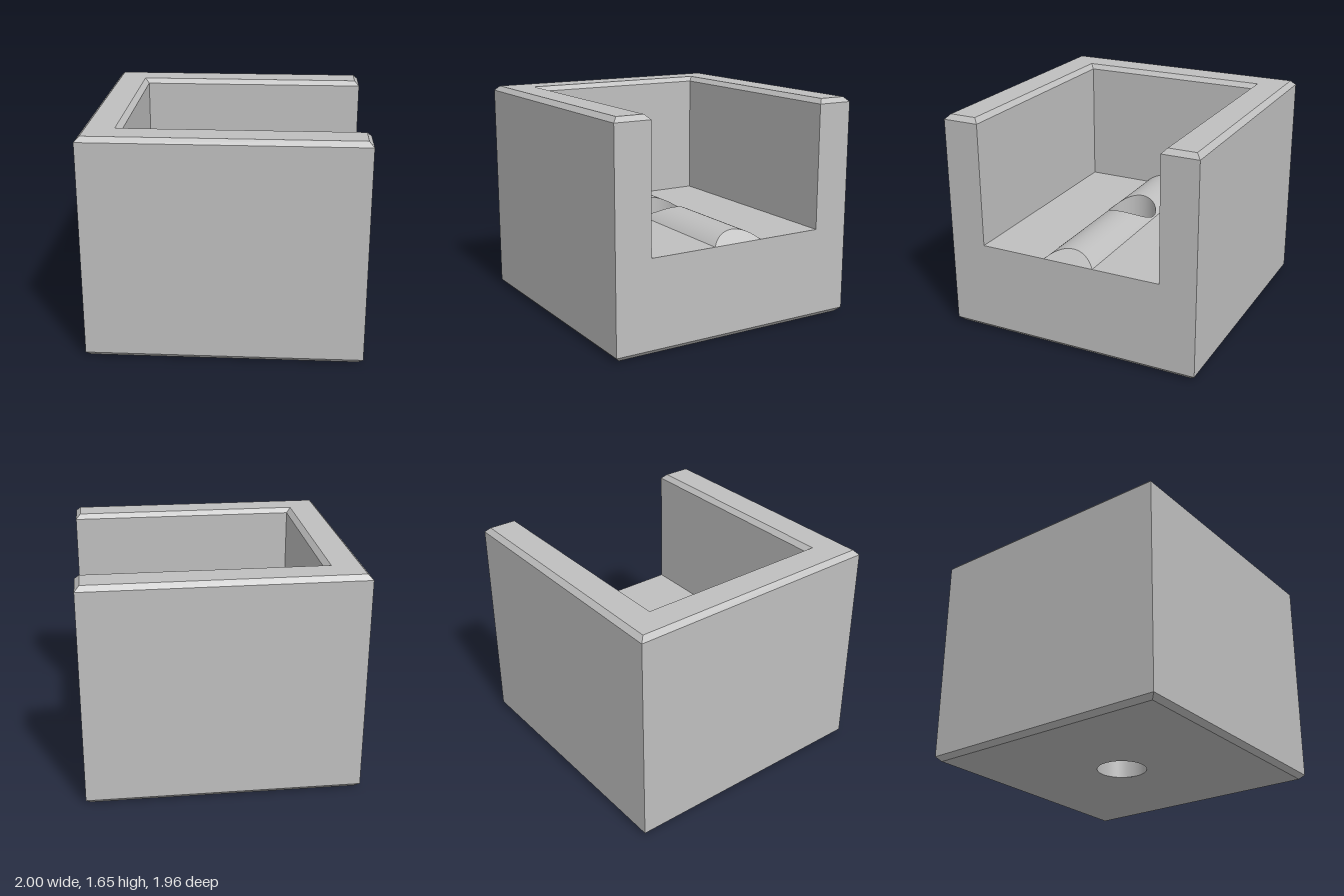
import * as THREE from 'three';

const BASE = 0.69, TOP = 1.655, CH = 0.035;      // floor height, total height, chamfer
const HX = -0.035, HR = 0.185;                   // hole centre and radius
const HALF = 0.195, RISE = 0.083;                // ridge half width and rise
const R = (HALF * HALF + RISE * RISE) / (2 * RISE), CY = BASE + RISE - R;
const INNER = -0.725, WALL = 0.705, D = 0.98;    // cavity end, cavity half depth, outer half depth
const STEPS = 96;

const ridgeY = (z) => CY + Math.sqrt(R * R - z * z);

// Faces from a list of four-cornered loops; optional rule for smooth normals
function quads(list, normalAt) {
  const g = new THREE.BufferGeometry();
  const pos = list.flatMap(([a, b, c, d]) => [a, b, c, a, c, d].flat());
  g.setAttribute('position', new THREE.Float32BufferAttribute(pos, 3));
  g.computeVertexNormals();
  if (normalAt) {
    const p = g.attributes.position, v = new THREE.Vector3();
    for (let i = 0; i < p.count; i++) {
      v.fromBufferAttribute(p, i);
      const n = normalAt(v).normalize();
      g.attributes.normal.setXYZ(i, n.x, n.y, n.z);
    }
  }
  return g;
}

// Ring of faces between two (x, z) loops at two heights
const band = (lo, y0, hi, y1) => quads(lo.map(([x, z], i) => {
  const j = (i + 1) % lo.length;
  return [[x, y0, z], [lo[j][0], y0, lo[j][1]], [hi[j][0], y1, hi[j][1]], [hi[i][0], y1, hi[i][1]]];
}));

// Move every edge of a right-angled loop inward by d
const inset = (loop, d) => loop.map(([x, z], i) => {
  const n = loop.length, p = loop[(i + n - 1) % n], q = loop[(i + 1) % n];
  return [
    x + d * (Math.sign(z - p[1]) + Math.sign(q[1] - z)),
    z - d * (Math.sign(x - p[0]) + Math.sign(q[0] - x)),
  ];
});

// Flat horizontal face (all loops are symmetric in z)
function cap(loop, y, up, hole) {
  const s = new THREE.Shape(loop.map(([x, z]) => new THREE.Vector2(x, z)));
  if (hole) s.holes.push(new THREE.Path().absarc(HX, 0, HR, 0, Math.PI * 2, true));
  return new THREE.ShapeGeometry(s, STEPS).rotateX(up ? -Math.PI / 2 : Math.PI / 2).translate(0, y, 0);
}

export function createModel() {
  const model = new THREE.Group();
  model.name = 'openBlock';
  const grey = new THREE.MeshStandardMaterial({ color: 0xbfbfbf });
  grey.name = 'grey';
  const add = (name, geometry, parent = model) => {
    const m = new THREE.Mesh(geometry, grey);
    m.name = name;
    parent.add(m);
  };
  const group = (name) => {
    const g = new THREE.Group();
    g.name = name;
    model.add(g);
    return g;
  };

  const rect = [[-1, D], [1, D], [1, -D], [-1, -D]];
  const uLoop = [[-1, D], [1, D], [1, WALL], [INNER, WALL], [INNER, -WALL], [1, -WALL], [1, -D], [-1, -D]];

  // Solid base with chamfered underside
  const base = group('base');
  add('underside', cap(inset(rect, CH), 0, false, true), base);
  add('bottomChamfer', band(inset(rect, CH), 0, rect, CH), base);
  add('baseSides', band(rect, CH, rect, BASE), base);

  // U-shaped walls with chamfered rim
  const walls = group('walls');
  add('wallSides', band(uLoop, BASE, uLoop, TOP - CH), walls);
  add('rimChamfer', band(uLoop, TOP - CH, inset(uLoop, CH), TOP), walls);
  add('rim', cap(inset(uLoop, CH), TOP, true), walls);

  // Cavity floor on both sides of the ridge
  for (const [name, z0, z1] of [['floorLeft', -WALL, -HALF], ['floorRight', HALF, WALL]]) {
    add(name, quads([[[INNER, BASE, z0], [INNER, BASE, z1], [1, BASE, z1], [1, BASE, z0]]]));
  }

  // Rounded ridge, cut by the hole and by a sloped end
  const zs = [-HALF];
  for (let i = 0; i <= STEPS / 2; i++) zs.push(HR * Math.sin(-Math.PI / 2 + (i * 2 * Math.PI) / STEPS));
  zs.push(HALF);
  const chord = (z) => Math.sqrt(Math.max(0, HR * HR - z * z));
  const endX = (z) => 1 - (ridgeY(z) - BASE);
  const top = [], end = [];
  for (let i = 0; i < zs.length - 1; i++) {
    const a = zs[i], b = zs[i + 1], ya = ridgeY(a), yb = ridgeY(b);
    const strip = (l, r) => top.push([[l(a), ya, a], [l(b), yb, b], [r(b), yb, b], [r(a), ya, a]]);
    strip(() => INNER, (z) => HX - chord(z));
    strip((z) => HX + chord(z), endX);
    end.push([[1, BASE, b], [1, BASE, a], [endX(a), ya, a], [endX(b), yb, b]]);
  }
  const ridge = group('ridge');
  add('ridgeTop', quads(top, (v) => new THREE.Vector3(0, v.y - CY, v.z)), ridge);
  add('ridgeEnd', quads(end, () => new THREE.Vector3(1, 1, 0)), ridge);

  // Vertical through hole
  const bore = [];
  for (let i = 0; i < STEPS; i++) {
    const [a, b] = [i, i + 1].map((k) => {
      const t = (k * 2 * Math.PI) / STEPS;
      return [HX + HR * Math.cos(t), HR * Math.sin(t)];
    });
    bore.push([[a[0], 0, a[1]], [b[0], 0, b[1]], [b[0], ridgeY(b[1]), b[1]], [a[0], ridgeY(a[1]), a[1]]]);
  }
  add('holeWall', quads(bore, (v) => new THREE.Vector3(HX - v.x, 0, -v.z)));

  return model;
}
